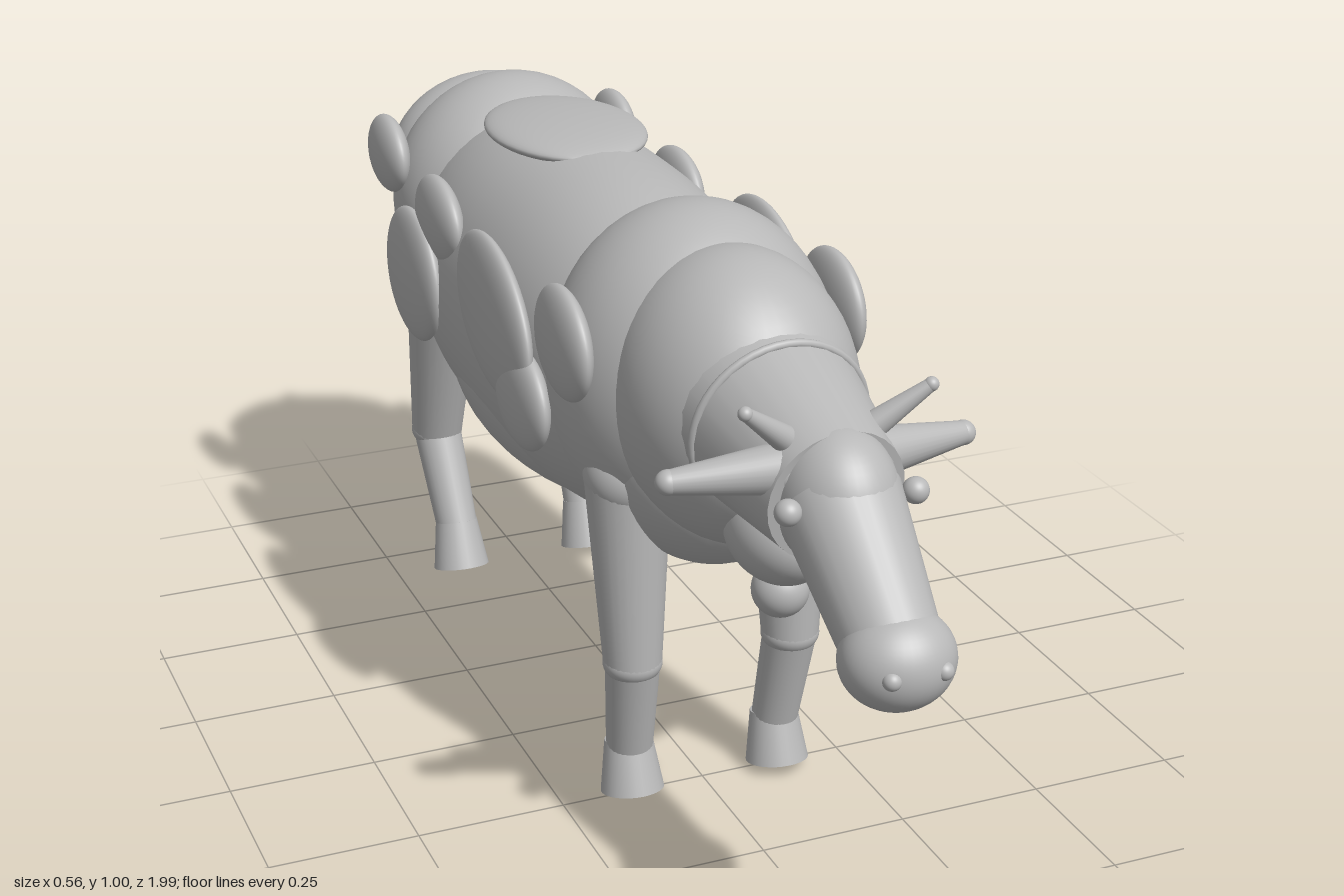
import * as THREE from 'three';

const hide = new THREE.MeshStandardMaterial({ color: 0xb8b8b8 });
hide.name = 'plain grey';

export function createModel() {
  const root = new THREE.Group();
  root.name = 'cow';

  const add = (name, geometry) => {
    const mesh = new THREE.Mesh(geometry, hide);
    mesh.name = name;
    root.add(mesh);
    return mesh;
  };
  // Ellipsoid from centre and radii
  const ball = (name, [x, y, z], [rx, ry, rz], tilt = 0) => {
    const m = add(name, new THREE.SphereGeometry(1, 40, 28));
    m.position.set(x, y, z);
    m.scale.set(rx, ry, rz);
    m.rotation.x = tilt;
    return m;
  };
  // Tapered limb between two points
  const limb = (name, from, to, r0, r1) => {
    const a = new THREE.Vector3(...from), b = new THREE.Vector3(...to);
    const d = b.clone().sub(a);
    const m = add(name, new THREE.CylinderGeometry(r1, r0, d.length(), 28));
    m.position.copy(a).addScaledVector(d, 0.5);
    m.quaternion.setFromUnitVectors(new THREE.Vector3(0, 1, 0), d.normalize());
    return m;
  };

  // Trunk: a full-bellied barrel, blunter at its ends than an ellipsoid
  const profile = [];
  for (let i = 0; i <= 32; i++) {
    const t = -Math.cos((Math.PI * i) / 32);
    profile.push(new THREE.Vector2(Math.pow(Math.max(0, 1 - Math.pow(Math.abs(t), 2.5)), 0.4), t));
  }
  const barrel = add('barrel', new THREE.LatheGeometry(profile, 48).rotateX(Math.PI / 2));
  barrel.position.set(0, 0.67, -0.25);
  barrel.scale.set(0.25, 0.295, 0.55);
  ball('belly', [0, 0.56, -0.24], [0.23, 0.19, 0.42]);
  ball('shoulders', [0, 0.72, 0.2], [0.235, 0.28, 0.24]);
  ball('chest', [0, 0.62, 0.27], [0.18, 0.19, 0.2]);
  ball('haunches', [0, 0.75, -0.66], [0.225, 0.23, 0.2]);
  ball('rump', [0, 0.78, -0.8], [0.19, 0.165, 0.135]);

  // Neck, collar and bell
  ball('neckBase', [0, 0.74, 0.36], [0.19, 0.235, 0.22]);
  limb('neck', [0, 0.76, 0.45], [0, 0.72, 0.72], 0.155, 0.108);
  ball('dewlap', [0, 0.585, 0.53], [0.08, 0.08, 0.11]);
  const collar = add('collar', new THREE.TorusGeometry(0.141, 0.007, 10, 48));
  collar.position.set(0, 0.75, 0.525);
  collar.rotation.x = 0.14;
  ball('bell', [0, 0.49, 0.54], [0.045, 0.045, 0.045]);

  // Head
  ball('skull', [0, 0.72, 0.715], [0.09, 0.11, 0.11]);
  limb('face', [0, 0.72, 0.73], [0, 0.57, 0.91], 0.092, 0.072);
  ball('muzzle', [0, 0.562, 0.922], [0.086, 0.075, 0.078]);

  // Spots on each flank: y, z, x, vertical radius, lengthwise radius, tilt
  const spots = [
    [0.81, 0.227, 0.23, 0.09, 0.105, 0.1],
    [0.755, -0.06, 0.245, 0.125, 0.172, 0.3],
    [0.655, 0.06, 0.24, 0.085, 0.105, 0],
    [0.81, -0.405, 0.225, 0.075, 0.105, 0],
    [0.685, -0.485, 0.25, 0.12, 0.135, 0],
    [0.84, -0.71, 0.222, 0.07, 0.09, 0],
  ];

  for (const s of [1, -1]) {
    const side = s > 0 ? 'left' : 'right';
    ball(side + 'Eye', [s * 0.1, 0.735, 0.77], [0.02, 0.02, 0.02]);
    ball(side + 'Nostril', [s * 0.04, 0.565, 0.985], [0.014, 0.014, 0.014]);
    limb(side + 'Ear', [s * 0.07, 0.765, 0.69], [s * 0.235, 0.757, 0.658], 0.04, 0.018);
    ball(side + 'EarTip', [s * 0.235, 0.757, 0.658], [0.019, 0.019, 0.019]);
    limb(side + 'Horn', [s * 0.075, 0.815, 0.695], [s * 0.145, 0.872, 0.72], 0.02, 0.01);
    ball(side + 'HornTip', [s * 0.145, 0.872, 0.72], [0.011, 0.011, 0.011]);
    for (const [y, z, x, ry, rz, tilt] of spots) {
      ball(side + 'Spot', [s * x, y, z], [0.03, ry, rz], tilt);
    }

    // Legs: joint, knee, ankle and sole positions along z
    for (const [end, hip, knee, ankle, sole] of [
      ['Front', 0.265, 0.285, 0.25, 0.263],
      ['Rear', -0.66, -0.738, -0.654, -0.634],
    ]) {
      const n = side + end, x = s * 0.14, low = s * 0.132;
      ball(n + 'LegJoint', [x, 0.59, hip], [0.07, 0.068, 0.075]);
      limb(n + 'UpperLeg', [x, 0.59, hip], [x, 0.265, knee], 0.07, 0.048);
      ball(n + 'Knee', [x, 0.265, knee], [0.049, 0.035, 0.048]);
      limb(n + 'LowerLeg', [x, 0.265, knee], [low, 0.09, ankle], 0.045, 0.039);
      limb(n + 'Hoof', [low, 0.1, ankle - 0.005], [low, 0.014, sole], 0.04, 0.053);
    }
  }
  ball('backSpot', [0, 0.955, -0.375], [0.135, 0.027, 0.19]);

  // Udder
  ball('udder', [0, 0.41, -0.5], [0.1, 0.07, 0.12]);
  for (const [x, z] of [[0.042, -0.45], [-0.042, -0.45], [0, -0.545]]) {
    limb('teat', [x, 0.37, z], [x, 0.318, z], 0.017, 0.013);
    ball('teatTip', [x, 0.318, z], [0.014, 0.014, 0.014]);
  }

  // Tail
  ball('tailBase', [0, 0.858, -0.918], [0.019, 0.019, 0.019]);
  limb('tail', [0, 0.858, -0.918], [0, 0.41, -0.96], 0.011, 0.014);
  ball('tailTuft', [0, 0.368, -0.963], [0.03, 0.066, 0.031]);

  return root;
}
